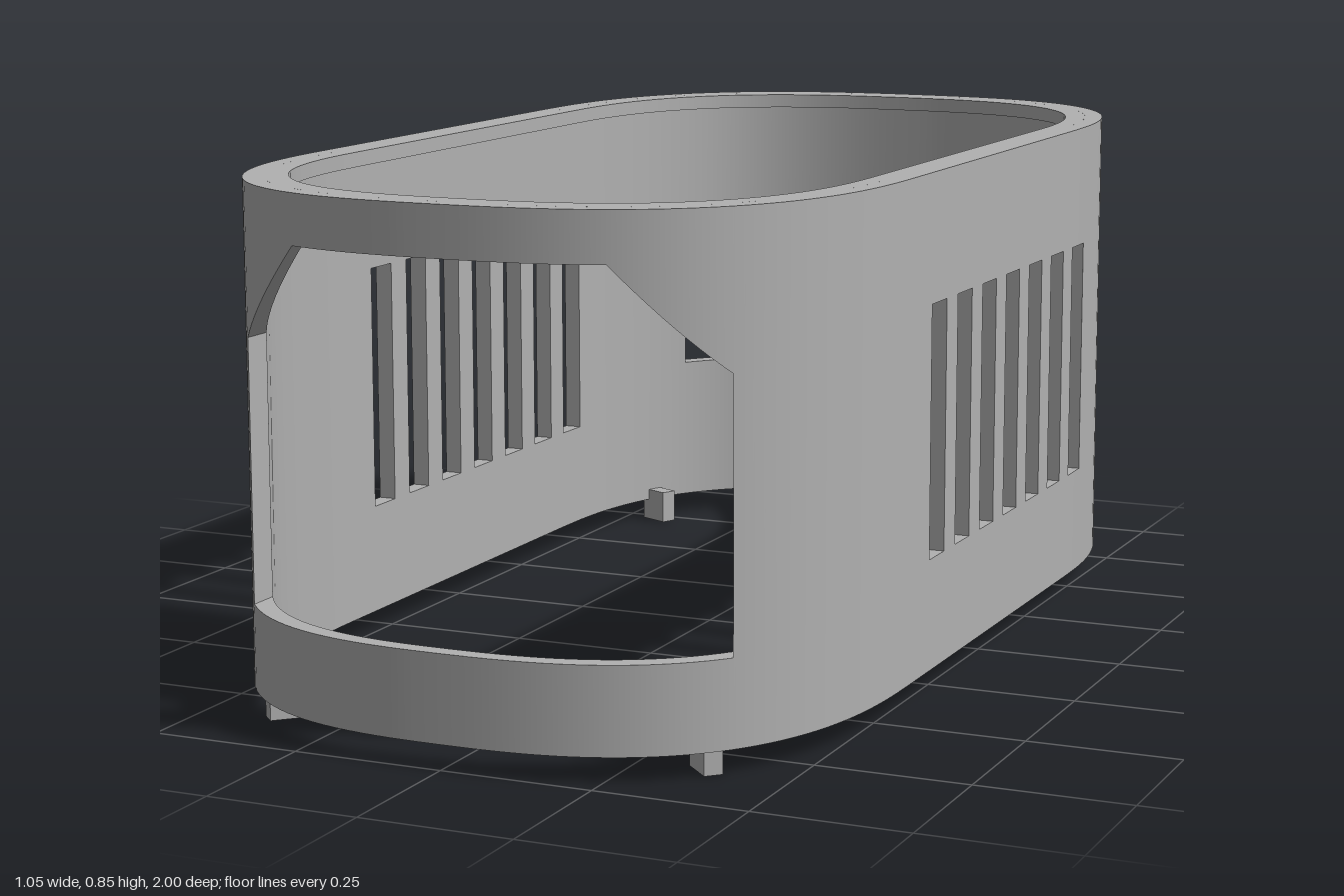
import * as THREE from 'three';

// Plan outline: straight sides (|z| < C) closed by superelliptic ends.
const N = 2.6, C = 0.4, BASE = 0.04, TOP = 0.85;
const OUTER = { a: 0.523, b: 0.6 };
const INNER = { a: 0.493, b: 0.57 };
const LIP = { a: 0.46, b: 0.525 };
const lerp = THREE.MathUtils.lerp;

// Point and outward normal on an outline; side is +1 at the front, -1 at the back
function outlinePoint(curve, x, u, side) {
  const n = new THREE.Vector2(Math.pow(x / curve.a, N - 1) / curve.a,
    Math.pow(u, N - 1) / curve.b * side).normalize();
  return { x, z: side * (C + curve.b * u), nx: n.x, nz: n.y };
}

function atAngle(curve, t, side) {
  const x = curve.a * Math.pow(Math.max(0, Math.cos(t)), 2 / N);
  return outlinePoint(curve, x, Math.pow(Math.max(0, Math.sin(t)), 2 / N), side);
}

function xAt(curve, z) {
  const u = Math.max(0, (Math.abs(z) - C) / curve.b);
  return curve.a * Math.pow(1 - Math.pow(u, N), 1 / N);
}

function atZ(curve, z) {
  const p = outlinePoint(curve, xAt(curve, z), Math.max(0, (Math.abs(z) - C) / curve.b), Math.sign(z) || 1);
  p.z = z;
  return p;
}

const angleOf = (curve, x) => Math.acos(Math.min(1, Math.pow(x / curve.a, N / 2)));

// Rows of outer/inner point pairs round an end, between given x positions
function endRows(side, o, i = o, count = 10, co = OUTER, ci = INNER) {
  const along = (c, r, f) => atAngle(c, lerp(angleOf(c, r[0]), angleOf(c, r[1]), f), side);
  return Array.from({ length: count + 1 }, (_, k) => [along(co, o, k / count), along(ci, i, k / count)]);
}

const sideRows = (z0, z1) => [z0, z1].map(z => [atZ(OUTER, z), atZ(INNER, z)]);

// Collects quads, turning each one to face along its normals
class Surface {
  constructor() { this.pos = []; this.nor = []; }
  quad(p, n) {
    const e = p[2].clone().sub(p[0]).cross(p[3].clone().sub(p[1]));
    const order = e.dot(n[0]) > 0 ? [0, 1, 2, 0, 2, 3] : [0, 2, 1, 0, 3, 2];
    for (const k of order) {
      this.pos.push(...p[k].toArray());
      this.nor.push(...n[k].toArray());
    }
  }
  geometry() {
    const g = new THREE.BufferGeometry();
    g.setAttribute('position', new THREE.Float32BufferAttribute(this.pos, 3));
    g.setAttribute('normal', new THREE.Float32BufferAttribute(this.nor, 3));
    return g;
  }
}

// Curved slab; lo and hi give its lower and upper edges at the two ends
function slab(surface, rows, lo, hi) {
  const last = rows.length - 1;
  for (const m of [1, -1]) {
    const V = (x, y, z) => new THREE.Vector3(x * m, y, z);
    const height = (h, r, s) => h[0] === h[1] ? h[0]
      : lerp(h[0], h[1], (rows[r][s].x - rows[0][s].x) / (rows[last][s].x - rows[0][s].x));
    const at = (r, s, h) => V(rows[r][s].x, height(h, r, s), rows[r][s].z);
    const normal = (r, s) => V(rows[r][s].nx, 0, rows[r][s].nz).multiplyScalar(s ? -1 : 1);
    for (let r = 0; r < last; r++) {
      for (const s of [0, 1]) {
        const a = normal(r, s), b = normal(r + 1, s);
        surface.quad([at(r, s, lo), at(r + 1, s, lo), at(r + 1, s, hi), at(r, s, hi)], [a, b, b, a]);
      }
      for (const [h, sign] of [[lo, -1], [hi, 1]]) {
        const p = [at(r, 0, h), at(r + 1, 0, h), at(r + 1, 1, h), at(r, 1, h)];
        const n = p[2].clone().sub(p[0]).cross(p[3].clone().sub(p[1])).normalize();
        if (n.y * sign < 0) n.negate();
        surface.quad(p, [n, n, n, n]);
      }
    }
    // end faces
    for (const [r, q] of [[0, 1], [last, last - 1]]) {
      const p = [at(r, 0, lo), at(r, 1, lo), at(r, 1, hi), at(r, 0, hi)];
      const n = p[1].clone().sub(p[0]).cross(V(0, 1, 0)).normalize();
      if (n.dot(at(r, 0, lo).sub(at(q, 0, lo))) < 0) n.negate();
      surface.quad(p, [n, n, n, n]);
    }
  }
}

export function createModel() {
  const group = new THREE.Group();
  const grey = new THREE.MeshStandardMaterial({ color: 0xb0b0b0 });
  grey.name = 'grey';
  const add = (name, build) => {
    const surface = new Surface();
    build((rows, lo, hi) => slab(surface, rows, lo, hi));
    const mesh = new THREE.Mesh(surface.geometry(), grey);
    mesh.name = name;
    group.add(mesh);
  };
  const base = [BASE, BASE], top = [TOP, TOP];

  // Front end with one large chamfered opening
  add('frontWall', put => {
    put(endRows(1, [0, 0.41], undefined, 18), base, [0.18, 0.18]);
    put(endRows(1, [0, 0.26]), [0.77, 0.77], top);
    put(endRows(1, [0.26, 0.41]), [0.77, 0.605], top);
    put(endRows(1, [0.41, OUTER.a], [0.41, INNER.a], 16), base, top);
  });

  // Back end with a wide central window and one window at each corner
  const backEdge = -0.4925;
  add('backWall', put => {
    put(endRows(-1, [0, 0.205]), base, [0.31, 0.31]);
    put(endRows(-1, [0, 0.125]), [0.525, 0.525], top);
    put(endRows(-1, [0.125, 0.205]), [0.525, 0.485], top);
    put(endRows(-1, [0.205, 0.25], [0.205, 0.24], 3), base, top);
    put(endRows(-1, [0.25, 0.428], [0.24, 0.405]), base, [0.31, 0.31]);
    put(endRows(-1, [0.25, 0.325], [0.24, 0.31], 4), [0.485, 0.525], top);
    put(endRows(-1, [0.325, 0.37], [0.31, 0.35], 4), [0.525, 0.525], top);
    put(endRows(-1, [0.37, 0.428], [0.35, 0.405], 4), [0.525, 0.485], top);
    put(endRows(-1, [0.428, xAt(OUTER, backEdge)], [0.405, xAt(INNER, backEdge)], 16), base, top);
  });

  // Side walls with seven upright vent slots
  add('sideWalls', put => {
    let z = C;
    for (let i = 0; i < 7; i++) {
      const slot = 0.315 - i * 0.1225;
      put(sideRows(z, slot), base, top);
      z = slot - 0.0695;
      put(sideRows(slot, z), base, [0.225, 0.225]);
      put(sideRows(slot, z), [0.64, 0.64], top);
    }
    put(sideRows(z, backEdge), base, top);
  });

  // Inward lip round the top edge
  add('topLip', put => {
    const lo = [TOP - 0.025, TOP - 0.025];
    for (const s of [1, -1]) put(endRows(s, [0, INNER.a], [0, LIP.a], 28, INNER, LIP), lo, top);
    put([C, -C].map(z => [atZ(INNER, z), atZ(LIP, z)]), lo, top);
  });

  // Four small locating feet inside the bottom edge
  const footGeometry = new THREE.BoxGeometry(0.06, 0.06, 0.03);
  for (const m of [1, -1]) {
    for (const [name, x, z, turn] of [['frontFoot', 0.362, 0.838, -Math.PI / 4], ['backFoot', 0.43, -0.725, 0.44]]) {
      const foot = new THREE.Mesh(footGeometry, grey);
      foot.name = name + (m > 0 ? 'Left' : 'Right');
      foot.position.set(x * m, 0.03, z);
      foot.rotation.y = turn * m;
      group.add(foot);
    }
  }
  return group;
}
